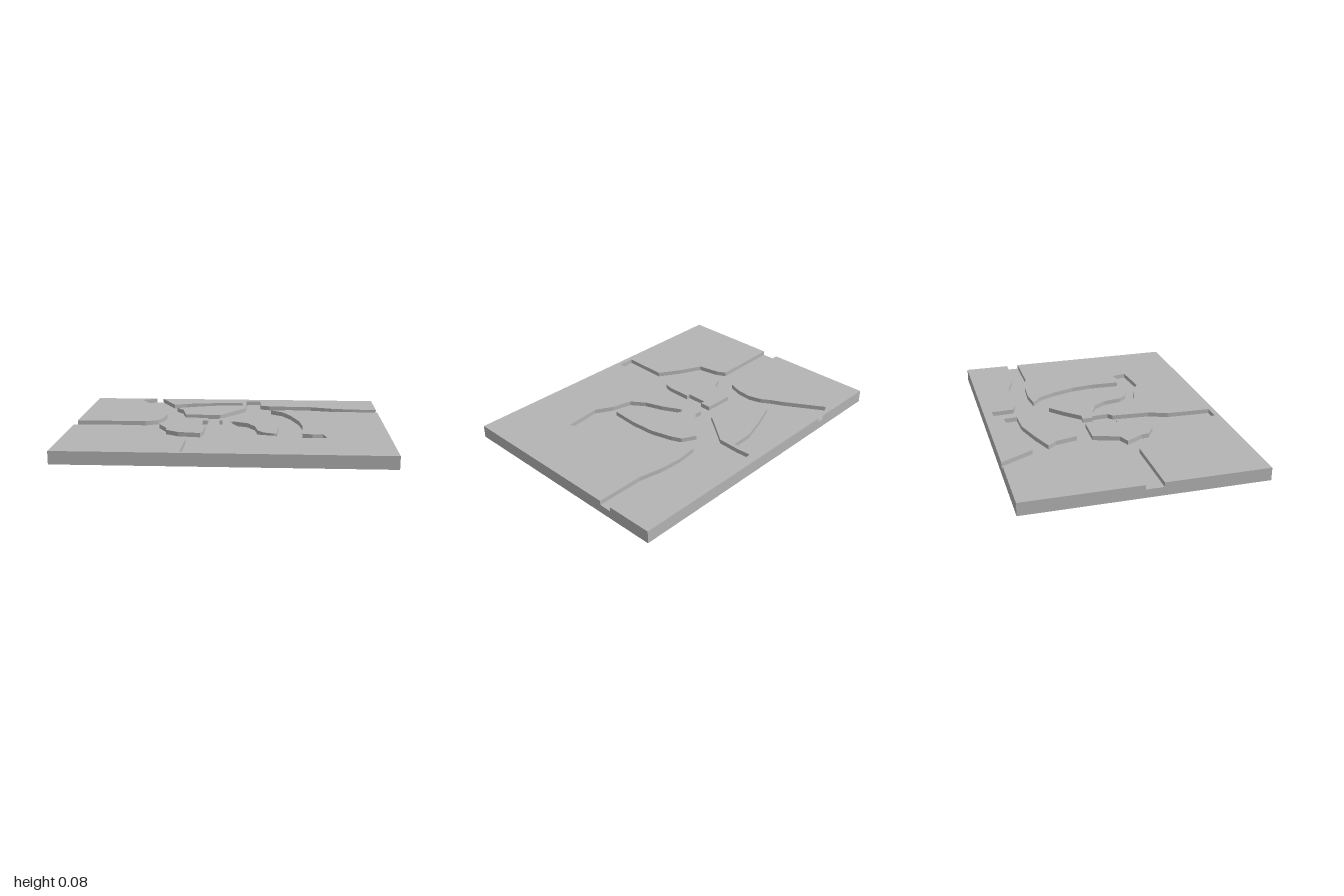
import * as THREE from 'three';

const W = 1, D = 0.733, FLOOR = 0.052, TOP = 0.08;

// Channel banks as flat lists of x, z pairs
const bankBackRight = [ // left edge round to back edge
  -1, -0.02, -0.55, -0.02, -0.52, -0.03, -0.47, -0.055, -0.44, -0.14, -0.433, -0.235, -0.455, -0.315,
  -0.49, -0.37, -0.53, -0.45, -0.67, -0.685, -0.57, -D,
];
const bankBack = [ // back edge to right edge
  -0.525, -D, -0.417, -0.53, -0.33, -0.567, -0.14, -0.6, 0.064, -0.62, 0.07, -0.535, -0.075, -0.53,
  -0.24, -0.48, -0.385, -0.425, -0.337, -0.37, -0.305, -0.23, -0.07, -0.223, -0.03, -0.28, 0.09, -0.44,
  0.095, -0.58, 0.09, -0.67, 0.19, -0.68, 0.197, -0.535, 0.26, -0.513, 0.55, -0.503, 0.695, -0.46,
  0.84, -0.44, 1, -0.44,
];
const bankFront = [ // right edge to left edge, round the hooked and straight dead ends
  1, -0.36, 0.695, -0.36, 0.55, -0.39, 0.405, -0.4, 0.27, -0.385, 0.35, -0.33, 0.405, -0.225,
  0.455, -0.075, 0.475, 0.06, 0.47, 0.257, 0.53, 0.273, 0.594, 0.262, 0.615, 0.353, 0.39, 0.374,
  0.283, 0.315, 0.22, 0.3, 0.16, 0.283, 0.1, 0.2, 0.06, 0.09, 0, -0.03, 0.02, -0.045, 0.12, 0,
  0.17, 0.08, 0.19, 0.19, 0.23, 0.24, 0.29, 0.262, 0.31, 0.257, 0.32, 0.09, 0.31, -0.065,
  0.273, -0.2, 0.245, -0.26, 0.16, -0.305, 0.07, -0.225, -0.02, -0.13, -0.07, -0.135,
  -0.065, -0.065, -0.045, -0.065, -0.04, 0.04, -0.07, 0.065, -0.085, 0.3, -0.13, 0.42,
  -0.14, 0.7, -0.245, 0.7, -0.24, 0.42, -0.37, 0.34, -0.51, 0.272, -0.535, 0.14, -0.565, 0.085, -1, 0.09,
];
const islandEdge = [
  -0.33, -0.14, -0.145, -0.135, -0.145, -0.065, -0.175, -0.065, -0.175, 0.065, -0.15, 0.065, -0.15, 0.22,
  -0.165, 0.273, -0.305, 0.255, -0.385, 0.205, -0.39, 0.155, -0.45, 0.05, -0.38, 0.02, -0.36, -0.04,
];

// Shape y is -z, so that a quarter turn about x lays it flat
function toPoints(list) {
  const points = [];
  for (let i = 0; i < list.length; i += 2) points.push(new THREE.Vector2(list[i], -list[i + 1]));
  return points;
}

// Removes the hidden faces that point up (1) or down (-1)
function dropFaces(source, direction) {
  const geometry = source.index ? source.toNonIndexed() : source;
  const p = geometry.attributes.position, n = geometry.attributes.normal;
  const kept = [];
  for (let i = 0; i < p.count; i += 3) {
    if (n.getY(i) * direction > 0.9) continue;
    for (let k = i; k < i + 3; k++) kept.push(p.getX(k), p.getY(k), p.getZ(k));
  }
  const result = new THREE.BufferGeometry();
  result.setAttribute('position', new THREE.Float32BufferAttribute(kept, 3));
  result.computeVertexNormals();
  return result;
}

export function createModel() {
  const group = new THREE.Group();
  group.name = 'channelledSlab';
  const stone = new THREE.MeshStandardMaterial({ color: 0xb4b4b4 });
  stone.name = 'plain grey';

  const add = (name, geometry) => {
    const mesh = new THREE.Mesh(geometry, stone);
    mesh.name = name;
    group.add(mesh);
  };

  // Lower slab
  const base = new THREE.BoxGeometry(2 * W, FLOOR, 2 * D).translate(0, FLOOR / 2, 0);
  add('baseSlab', dropFaces(base, 1));

  // Sunken floor of the channels
  const channel = new THREE.Shape(toPoints([...bankBackRight, ...bankBack, ...bankFront]));
  channel.holes.push(new THREE.Path(toPoints(islandEdge)));
  add('channelFloor', new THREE.ShapeGeometry(channel).rotateX(-Math.PI / 2).translate(0, FLOOR, 0));

  // Raised ground between the channels
  const plateaus = {
    backRightGround: [...bankBackRight, -W, -D],
    backGround: [...bankBack, W, -D],
    frontGround: [...bankFront, -W, D, W, D],
    island: islandEdge,
  };
  for (const [name, outline] of Object.entries(plateaus)) {
    const block = new THREE.ExtrudeGeometry(new THREE.Shape(toPoints(outline)), {
      depth: TOP - FLOOR, bevelEnabled: false,
    }).rotateX(-Math.PI / 2).translate(0, FLOOR, 0);
    add(name, dropFaces(block, -1));
  }
  return group;
}
